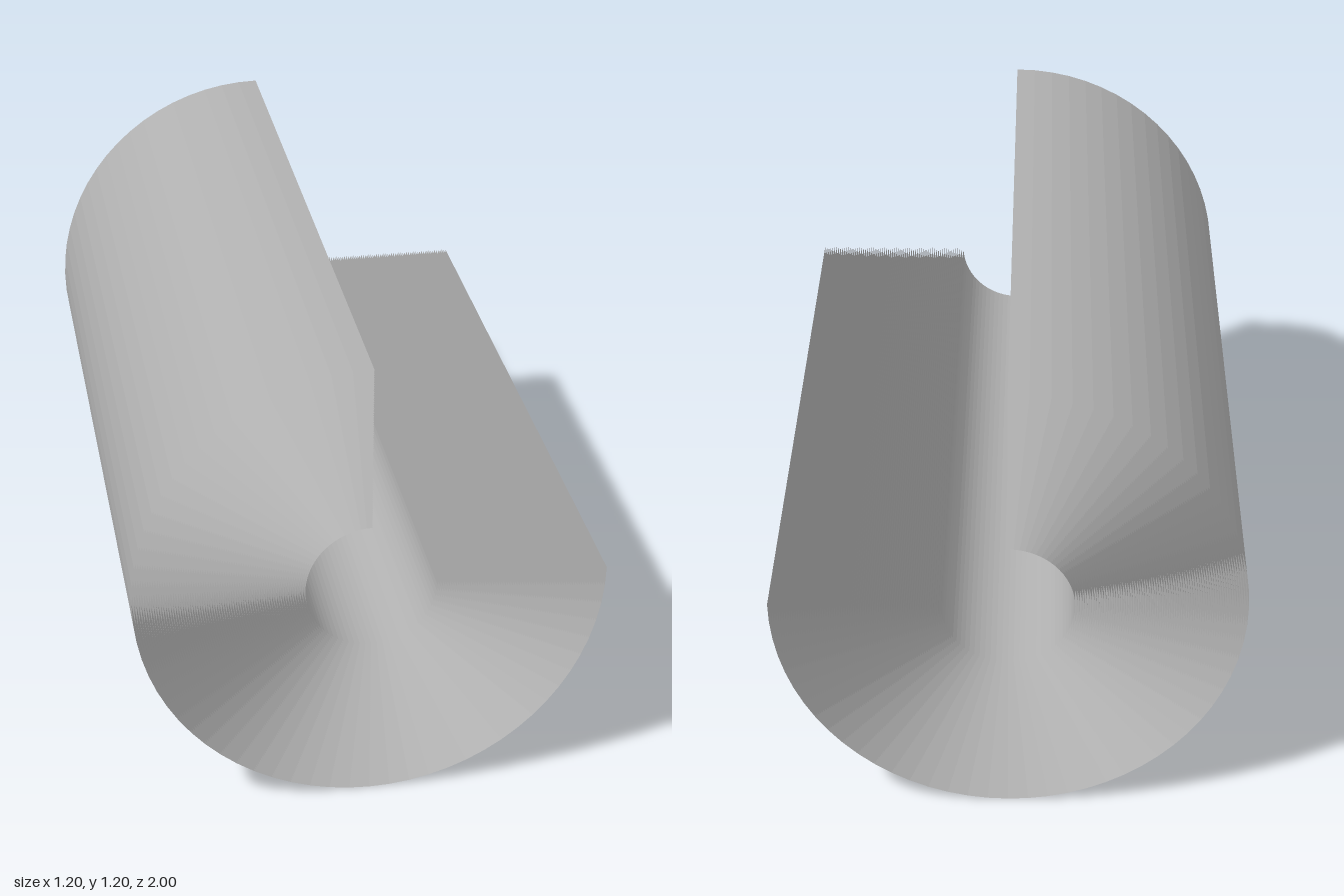
import * as THREE from 'three';

// Three-quarter roll of thin concentric sheets, open at both ends.
export function createModel() {
  const model = new THREE.Group();
  model.name = 'cutawayRoll';

  const sheetGrey = new THREE.MeshStandardMaterial({
    color: 0xb0b0b0,
    flatShading: true,
    side: THREE.DoubleSide,
  });
  sheetGrey.name = 'sheetGrey';

  const outerRadius = 0.6;
  const innerRadius = 0.168;
  const layers = 73;
  const length = 2;
  const segments = 54; // five degrees each

  // Nested sheets, leaving out the upper left quarter (+x, +y)
  for (let i = 0; i < layers; i++) {
    const radius = THREE.MathUtils.lerp(innerRadius, outerRadius, i / (layers - 1));
    const geometry = new THREE.CylinderGeometry(
      radius, radius, length, segments, 1, true, Math.PI, Math.PI * 1.5
    );
    geometry.rotateX(Math.PI / 2);
    const sheet = new THREE.Mesh(geometry, sheetGrey);
    sheet.name = `sheetLayer${i + 1}`;
    sheet.position.y = outerRadius;
    model.add(sheet);
  }

  return model;
}
